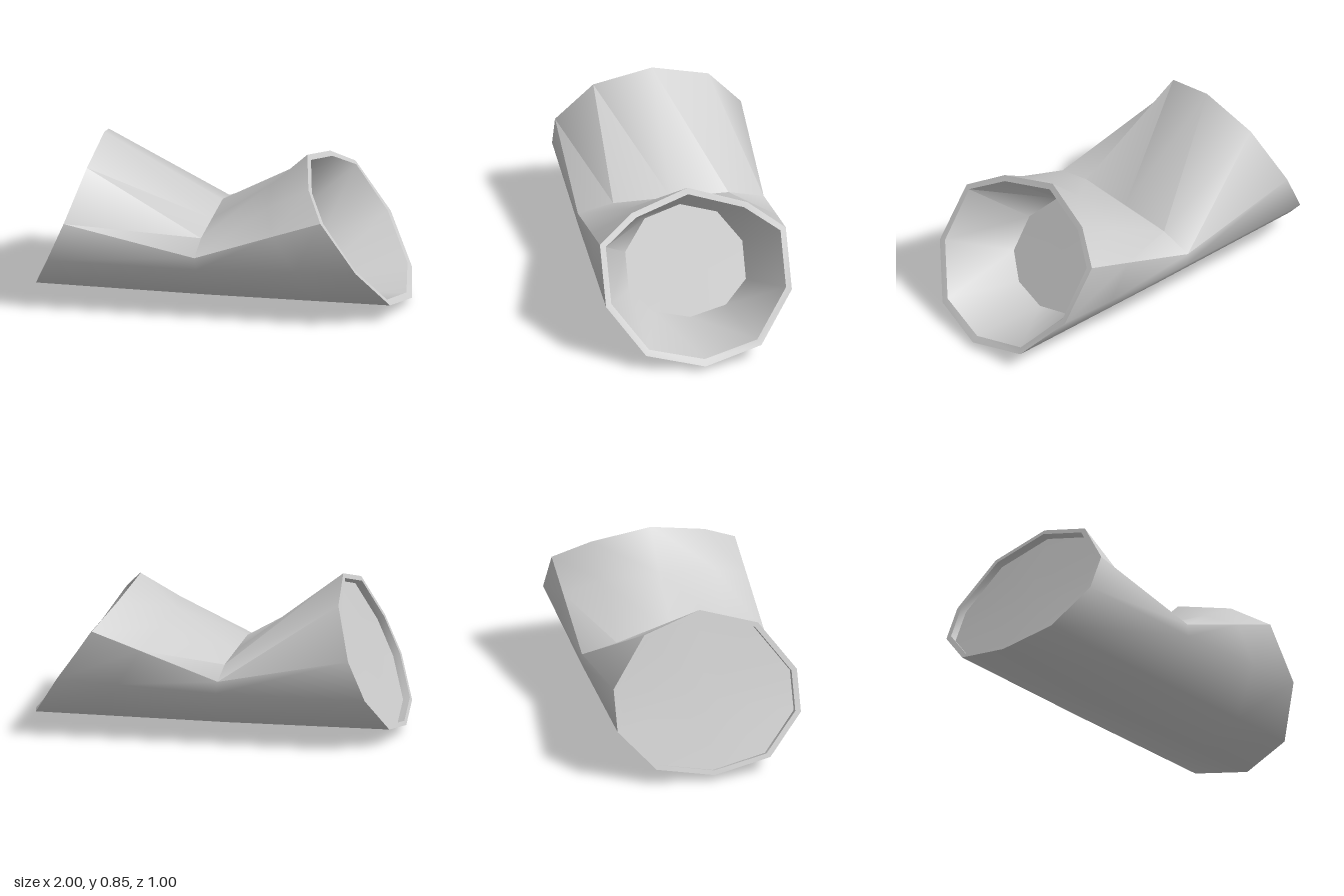
import * as THREE from 'three';
import { toCreasedNormals } from 'three/addons/utils/BufferGeometryUtils.js';

const WIDTHS = [0, 0.31, 0.5, 0.5, 0.31, 0];

// Ten-sided ring from its half profile of [x, y] points, top to bottom, mirrored in z
function ring(profile, widthScale = 1) {
  const half = profile.map(([x, y], i) => new THREE.Vector3(x, y, WIDTHS[i] * widthScale));
  const mirrored = half.slice(1, 5).reverse().map(p => new THREE.Vector3(p.x, p.y, -p.z));
  return [...half, ...mirrored];
}

function centreOf(points) {
  return points.reduce((sum, p) => sum.add(p), new THREE.Vector3()).divideScalar(points.length);
}

// Copy of a ring, shrunk about its centre and moved
function shrink(points, scale, offset = new THREE.Vector3()) {
  const c = centreOf(points);
  return points.map(p => p.clone().sub(c).multiplyScalar(scale).add(c).add(offset));
}

// Skin over consecutive rings
function loft(name, rings, material) {
  const pos = [];
  const tri = (a, b, c) => {
    const area = b.clone().sub(a).cross(c.clone().sub(a)).length();
    if (area > 1e-7) for (const p of [a, b, c]) pos.push(p.x, p.y, p.z);
  };
  for (let k = 0; k < rings.length - 1; k++) {
    const near = rings[k], far = rings[k + 1], n = near.length;
    for (let i = 0; i < n; i++) {
      const j = (i + 1) % n;
      tri(near[i], near[j], far[i]);
      tri(near[j], far[j], far[i]);
    }
  }
  const geometry = new THREE.BufferGeometry();
  geometry.setAttribute('position', new THREE.Float32BufferAttribute(pos, 3));
  const mesh = new THREE.Mesh(toCreasedNormals(geometry, 0.85), material);
  mesh.name = name;
  return mesh;
}

export function createModel() {
  const material = new THREE.MeshStandardMaterial({ color: 0xcccccc, side: THREE.DoubleSide });
  const group = new THREE.Group();
  group.name = 'bentPipe';

  // Main cross-sections, from the closed end to the open end
  const closedEnd = ring([[-0.66, 0.85], [-0.695, 0.755], [-0.785, 0.5], [-0.875, 0.29], [-0.97, 0.09], [-1, 0.035]]);
  const elbow = ring([[-0.08, 0.4], [-0.08, 0.4], [-0.08, 0.355], [-0.07, 0.29], [-0.04, 0.085], [-0.03, 0]]);
  const shoulder = ring([[0.24, 0.615], [0.28, 0.592], [0.34, 0.504], [0.46, 0.312], [0.56, 0.088], [0.6, 0.018]]);
  const openEnd = ring([[0.435, 0.795], [0.5, 0.712], [0.6, 0.595], [0.79, 0.325], [0.94, 0.09], [1, 0.027]]);

  // Closed end: lip and shallow recess
  const closedLip = shrink(closedEnd, 0.94);
  const plug = shrink(closedEnd, 0.94, new THREE.Vector3(0.037, -0.015, 0));

  // Open end: lip and tapering cup with a flat floor
  const openLip = ring([[0.455, 0.767], [0.515, 0.69], [0.61, 0.585], [0.78, 0.335], [0.92, 0.115], [0.97, 0.055]], 0.94);
  const cupFloor = ring([[0.2, 0.54], [0.23, 0.49], [0.32, 0.35], [0.43, 0.18], [0.5, 0.075], [0.525, 0.035]], 0.63);

  group.add(
    loft('outerPipe', [closedEnd, elbow, shoulder, openEnd], material),
    loft('closedEndLip', [closedLip, closedEnd], material),
    loft('closedEndRecess', [plug, closedLip], material),
    loft('closedEndPlug', [shrink(plug, 0), plug], material),
    loft('openEndLip', [openEnd, openLip], material),
    loft('cupWall', [openLip, cupFloor], material),
    loft('cupFloor', [cupFloor, shrink(cupFloor, 0)], material),
  );
  return group;
}
